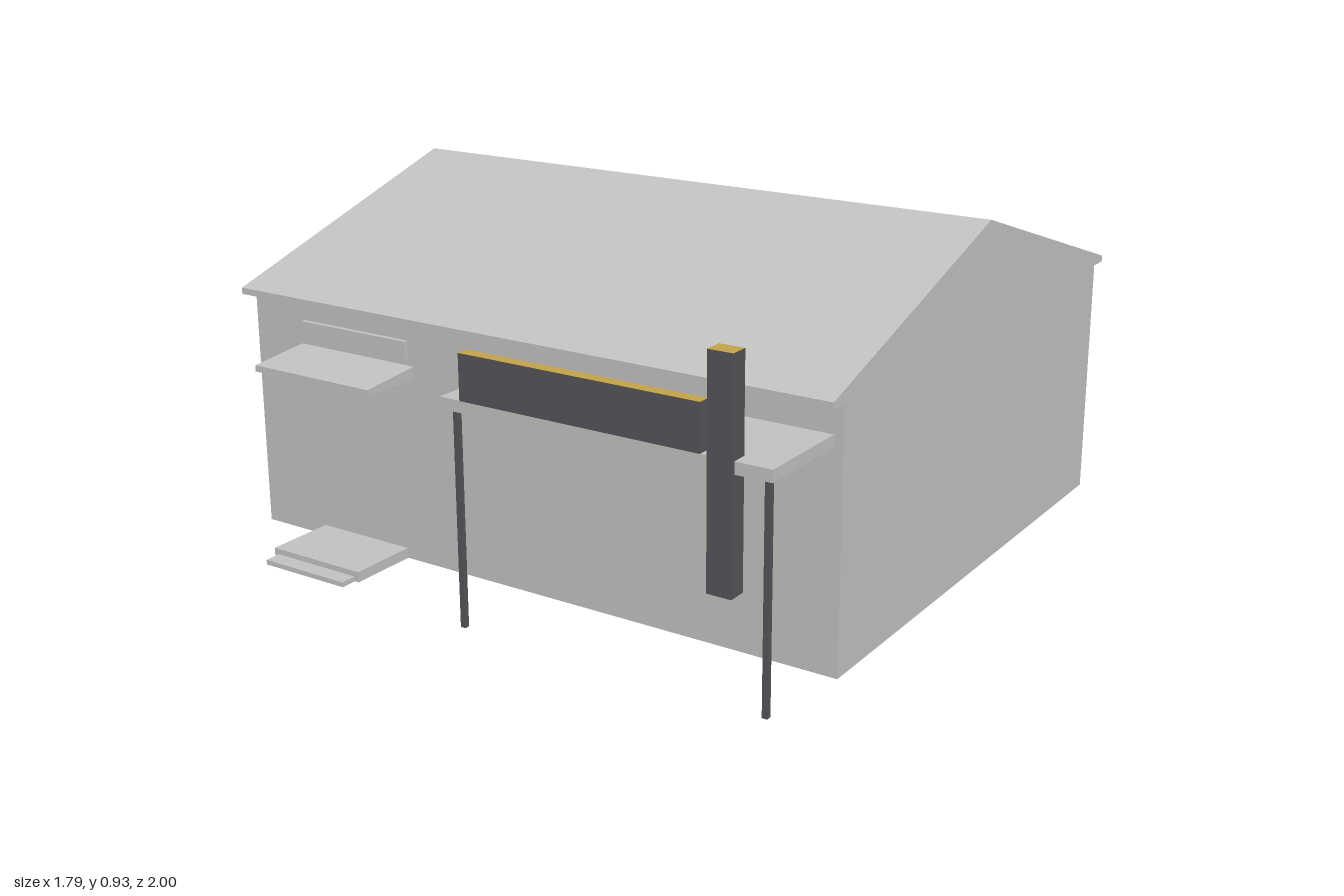
import * as THREE from 'three';

const lightGrey = new THREE.MeshStandardMaterial({ name: 'light grey', color: 0xc0c0be, side: THREE.DoubleSide });
const charcoal = new THREE.MeshStandardMaterial({ name: 'charcoal', color: 0x545357 });
const gold = new THREE.MeshStandardMaterial({ name: 'gold', color: 0xc2a14a });

const HALF = 0.893; // half the building width

// Open-bottomed building outline as [z, y], from the back wall over the ridge to the front wall
const OUTLINE = [
  [-0.77, 0], [-0.77, 0.66], [-0.828, 0.66], [-0.828, 0.677],
  [-0.03, 0.93],
  [0.767, 0.677], [0.767, 0.66], [0.717, 0.66], [0.717, 0],
];

// Box given by its limits on each axis
function box(name, [x0, x1], [y0, y1], [z0, z1], material) {
  const mesh = new THREE.Mesh(new THREE.BoxGeometry(x1 - x0, y1 - y0, z1 - z0), material);
  mesh.position.set((x0 + x1) / 2, (y0 + y1) / 2, (z0 + z1) / 2);
  mesh.name = name;
  return mesh;
}

// One quad across the full width for each outline segment
function stripGeometry(points) {
  const pos = [];
  for (let i = 0; i < points.length - 1; i++) {
    const [pz, py] = points[i];
    const [qz, qy] = points[i + 1];
    pos.push(-HALF, py, pz, -HALF, qy, qz, HALF, qy, qz);
    pos.push(-HALF, py, pz, HALF, qy, qz, HALF, py, pz);
  }
  const geometry = new THREE.BufferGeometry();
  geometry.setAttribute('position', new THREE.Float32BufferAttribute(pos, 3));
  geometry.computeVertexNormals();
  return geometry;
}

function building() {
  const group = new THREE.Group();
  group.name = 'building';

  const strips = { backWall: [0, 2], backEave: [1, 4], roof: [3, 6], frontEave: [5, 8], frontWall: [7, 9] };
  for (const [name, [from, to]] of Object.entries(strips)) {
    const mesh = new THREE.Mesh(stripGeometry(OUTLINE.slice(from, to)), lightGrey);
    mesh.name = name;
    group.add(mesh);
  }

  // Gable ends
  for (const side of [1, -1]) {
    const shape = new THREE.Shape(OUTLINE.map(([z, y]) => new THREE.Vector2(-side * z, y)));
    const gable = new THREE.Mesh(new THREE.ShapeGeometry(shape), lightGrey);
    gable.rotation.y = side * Math.PI / 2;
    gable.position.x = side * HALF;
    gable.name = side > 0 ? 'leftGable' : 'rightGable';
    group.add(gable);
  }
  return group;
}

// Awning with a sloping top, running slightly through the wall
function awning() {
  const shape = new THREE.Shape([
    new THREE.Vector2(-0.89, 0.503), new THREE.Vector2(-0.68, 0.503),
    new THREE.Vector2(-0.68, 0.54), new THREE.Vector2(-0.89, 0.52),
  ]);
  const geometry = new THREE.ExtrudeGeometry(shape, { depth: 0.387, bevelEnabled: false });
  geometry.rotateY(Math.PI / 2);
  const mesh = new THREE.Mesh(geometry, lightGrey);
  mesh.position.x = -0.732;
  mesh.name = 'awning';
  return mesh;
}

export function createModel() {
  const model = new THREE.Group();
  model.name = 'shopBuilding';
  model.add(building());

  // Side entrance
  model.add(awning());
  model.add(box('wallPanel', [-0.718, -0.362], [0.553, 0.603], [0.71, 0.73], lightGrey));
  model.add(box('upperStep', [-0.687, -0.392], [0, 0.028], [0.717, 0.908], lightGrey));
  model.add(box('lowerStep', [-0.673, -0.405], [0, 0.013], [0.908, 0.953], lightGrey));

  // Thin paving at the back door
  model.add(box('backPaving', [-0.12, 0.12], [0, 0.003], [-0.96, -0.77], lightGrey));
  model.add(box('backPavingEdge', [-0.105, 0.105], [0, 0.003], [-1, -0.96], lightGrey));

  // Canopy and its posts
  model.add(box('canopy', [-0.031, 0.869], [0.555, 0.585], [0.717, 0.982], lightGrey));
  for (const x of [0.004, 0.85]) {
    model.add(box('canopyPost', [x - 0.007, x + 0.007], [0, 0.555], [0.956, 0.97], charcoal));
  }

  // Sign boards: dark sides with gold top and bottom
  const signMaterials = [charcoal, charcoal, gold, gold, charcoal, charcoal];
  model.add(box('horizontalSign', [0.043, 0.7], [0.592, 0.708], [0.967, 1], signMaterials));
  model.add(box('verticalSign', [0.711, 0.775], [0.27, 0.824], [0.942, 0.99], signMaterials));
  return model;
}
